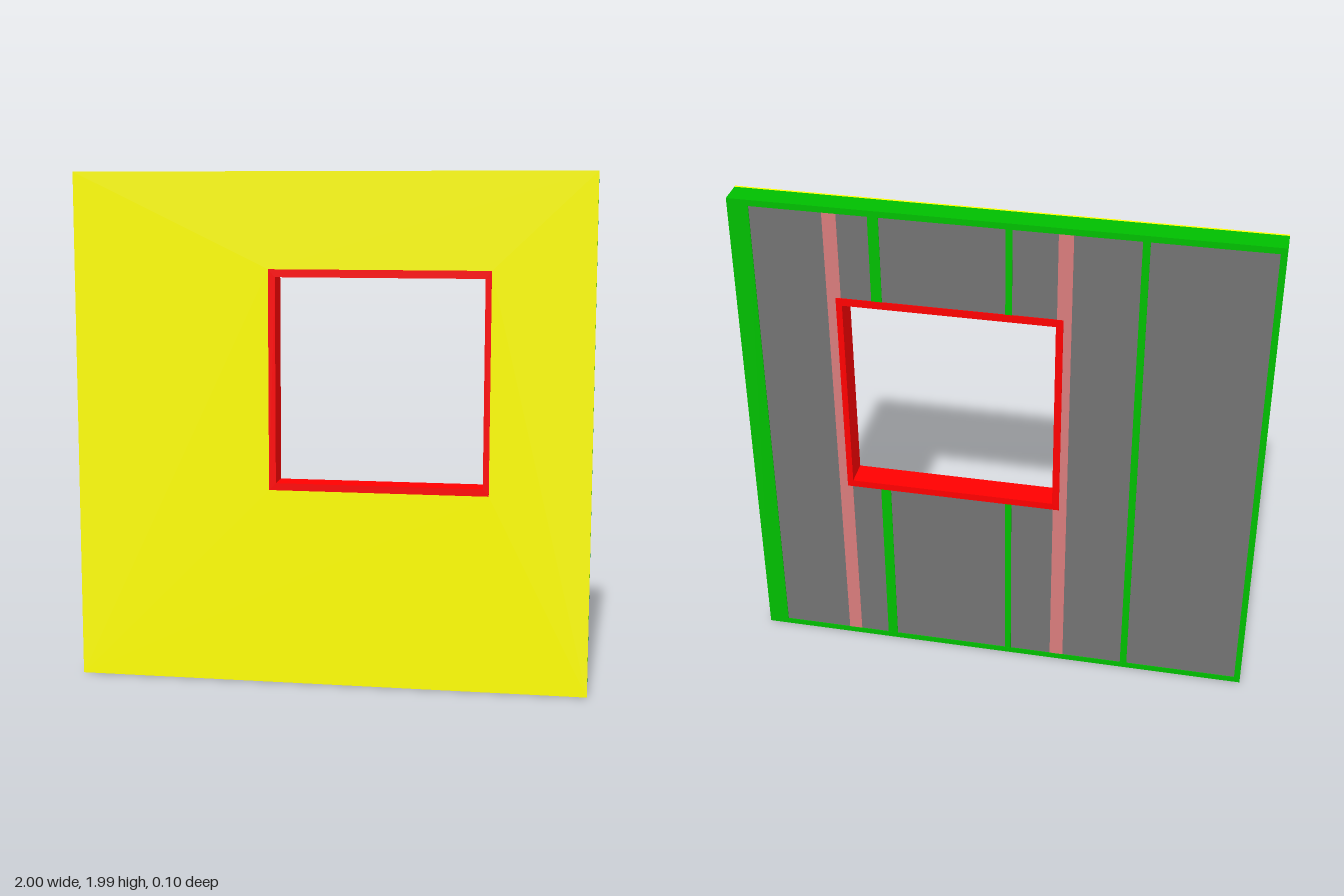
import * as THREE from 'three';

const W = 2, H = 1.99;
const BACK = -0.0525, FRONT = 0.0525, BOARD = 0.042; // BOARD: where the facing board begins
const PLATE = 0.024;
// window frame, outer and inner edges
const OUT = { x0: -0.235, x1: 0.615, y0: 0.769, y1: 1.622 };
const INN = { x0: -0.208, x1: 0.592, y0: 0.797, y1: 1.592 };

const mat = (color) => new THREE.MeshStandardMaterial({ color });
const green = mat(0x00be00), red = mat(0xff0000), yellow = mat(0xffff00);
const pink = mat(0xd87c7c), grey = mat(0x727272);

function trace(path, r) {
  path.moveTo(r.x0, r.y0);
  path.lineTo(r.x1, r.y0);
  path.lineTo(r.x1, r.y1);
  path.lineTo(r.x0, r.y1);
  path.closePath();
  return path;
}

export function createModel() {
  const group = new THREE.Group();

  const add = (name, geometry, material) => {
    const mesh = new THREE.Mesh(geometry, material);
    mesh.name = name;
    group.add(mesh);
  };
  // rectangular slab with a rectangular opening
  const slab = (name, outer, hole, z0, z1, material) => {
    const shape = trace(new THREE.Shape(), outer);
    shape.holes.push(trace(new THREE.Path(), hole));
    const g = new THREE.ExtrudeGeometry(shape, { depth: z1 - z0, bevelEnabled: false });
    add(name, g.translate(0, 0, z0), material);
  };
  // timber given by its edges, running from the back to the facing board
  const timber = (name, x0, x1, y0, y1, z0, material) => {
    const g = new THREE.BoxGeometry(x1 - x0, y1 - y0, BOARD - z0);
    add(name, g.translate((x0 + x1) / 2, (y0 + y1) / 2, (z0 + BOARD) / 2), material);
  };

  // facing board and insulation, both cut out for the window
  slab('facingBoard', { x0: -W / 2, x1: W / 2, y0: 0, y1: H }, OUT, BOARD, FRONT - 0.001, yellow);
  slab('insulation', { x0: -W / 2 + 0.02, x1: W / 2 - 0.07, y0: PLATE, y1: H - PLATE },
    OUT, BACK + 0.003, BOARD, grey);

  // outer timbers
  timber('bottomPlate', -W / 2, W / 2, 0, PLATE, BACK, green);
  timber('topPlate', -W / 2, W / 2, H - PLATE, H, BACK, green);
  timber('rightEndStud', -W / 2, -W / 2 + 0.024, PLATE, H - PLATE, BACK, green);
  timber('leftEndStud', W / 2 - 0.08, W / 2, PLATE, H - PLATE, BACK, green);

  // inner studs, interrupted by the window
  for (const [x, w] of [[0.459, 0.04], [-0.034, 0.025], [-0.519, 0.027]]) {
    const x0 = x - w / 2, x1 = x + w / 2;
    if (x > OUT.x0 && x < OUT.x1) {
      timber('studBelowWindow', x0, x1, PLATE, OUT.y0, BACK + 0.001, green);
      timber('studAboveWindow', x0, x1, OUT.y1, H - PLATE, BACK + 0.001, green);
    } else {
      timber('stud', x0, x1, PLATE, H - PLATE, BACK + 0.001, green);
    }
  }

  // full-height studs beside the window
  timber('windowStudRight', -0.265, INN.x0 - 0.003, PLATE, H - PLATE, BACK + 0.002, pink);
  timber('windowStudLeft', INN.x1 + 0.003, 0.648, PLATE, H - PLATE, BACK + 0.002, pink);

  // window lining through the full depth
  slab('windowFrame', OUT, INN, BACK, FRONT, red);

  return group;
}
